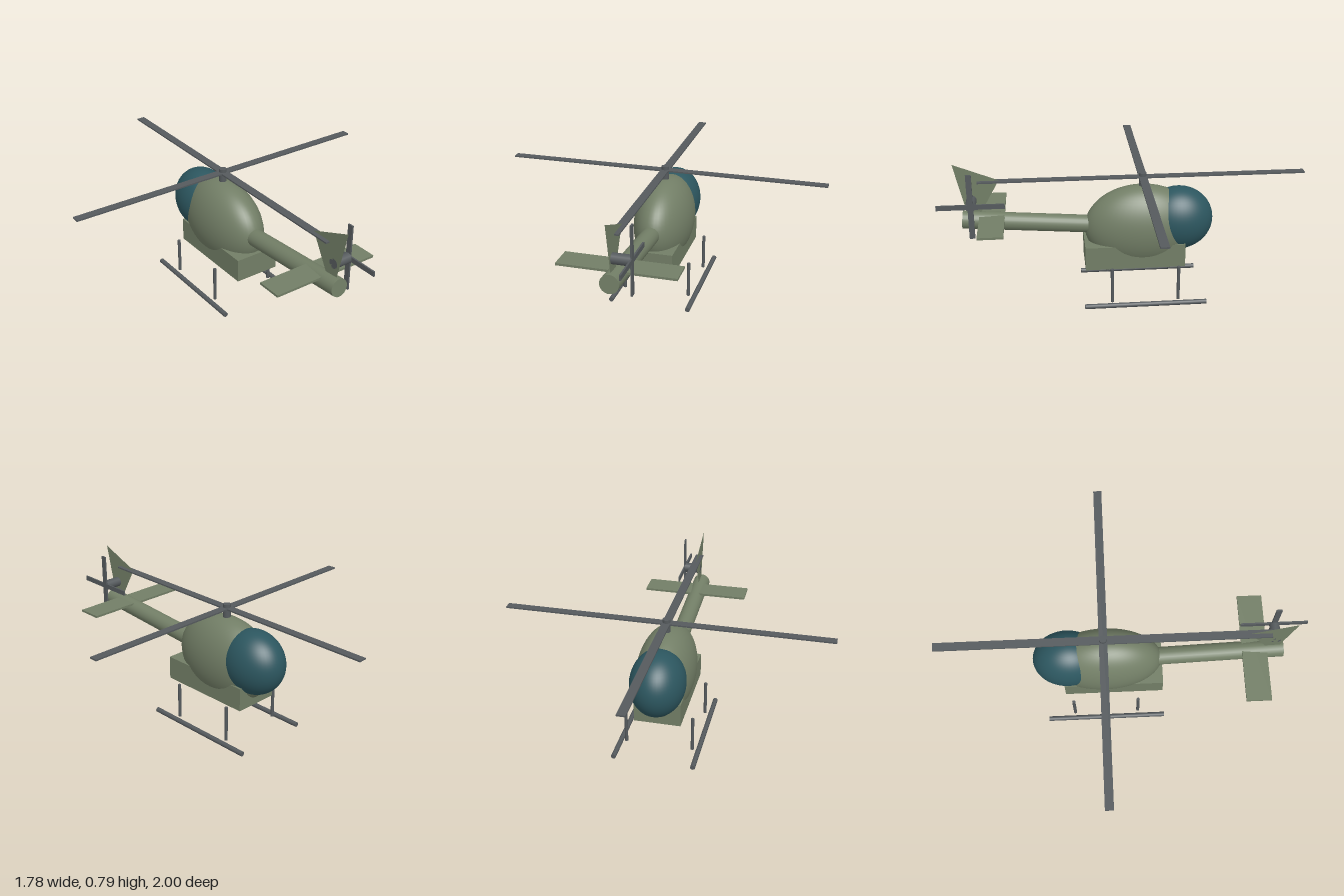
import * as THREE from 'three';

export function createModel() {
  const model = new THREE.Group();
  const mat = (name, color, side = THREE.FrontSide) =>
    Object.assign(new THREE.MeshStandardMaterial({ color, side }), { name });
  const green = mat('olive green', 0x727e66, THREE.DoubleSide);
  const glass = mat('teal glass', 0x2c565f);
  const grey = mat('dark grey', 0x555a5d);

  const add = (name, geometry, material, x, y, z, parent = model) => {
    const mesh = new THREE.Mesh(geometry, material);
    mesh.name = name;
    mesh.position.set(x, y, z);
    parent.add(mesh);
    return mesh;
  };
  const box = (w, h, d) => new THREE.BoxGeometry(w, h, d);
  const rod = (r, length, sides = 16) => new THREE.CylinderGeometry(r, r, length, sides);

  // Egg-shaped cabin, glazed nose and floor box; the nose points to -z
  const ellipsoid = (rx, ry, rz) => new THREE.SphereGeometry(1, 48, 32).scale(rx, ry, rz);
  add('cabin', ellipsoid(0.158, 0.238, 0.316), green, 0, 0.395, -0.105);
  add('canopy', ellipsoid(0.149, 0.18, 0.19), glass, 0, 0.434, -0.309);
  add('floorBox', box(0.256, 0.132, 0.55), green, 0, 0.257, -0.059);

  // Tail boom rising slightly toward the back
  const start = new THREE.Vector3(0, 0.408, 0.1);
  const end = new THREE.Vector3(0, 0.468, 0.873);
  const boom = add('tailBoom', rod(0.049, start.distanceTo(end), 24), green, 0, 0, 0);
  boom.position.copy(start).lerp(end, 0.5);
  boom.quaternion.setFromUnitVectors(
    new THREE.Vector3(0, 1, 0), end.clone().sub(start).normalize());

  // Sheet tail fin, drawn as (z, y) and turned into the centre plane
  const finShape = new THREE.Shape([[0.909, 0.785], [0.667, 0.689], [0.826, 0.41]]
    .map(([z, y]) => new THREE.Vector2(z, y)));
  add('tailFin', new THREE.ShapeGeometry(finShape).rotateY(-Math.PI / 2), green, 0, 0, 0);
  add('stabilizer', box(0.61, 0.012, 0.136), green, 0, 0.488, 0.713);

  // Main rotor
  const rotor = new THREE.Group();
  rotor.name = 'mainRotor';
  rotor.position.set(0, 0.683, -0.108);
  model.add(rotor);
  add('mast', rod(0.021, 0.12), grey, 0, -0.038, 0, rotor);
  add('crossBlade', box(1.785, 0.008, 0.045), grey, 0, 0, 0, rotor);
  add('lengthBlade', box(0.045, 0.008, 1.785), grey, 0, 0, 0, rotor);

  // Tail rotor on the +x side
  const tailRotor = new THREE.Group();
  tailRotor.name = 'tailRotor';
  tailRotor.position.set(0, 0.579, 0.819);
  model.add(tailRotor);
  add('tailHub', rod(0.028, 0.096).rotateZ(Math.PI / 2), grey, 0.048, 0, 0, tailRotor);
  add('uprightBlade', box(0.009, 0.363, 0.03), grey, 0.097, 0, 0, tailRotor);
  add('levelBlade', box(0.009, 0.027, 0.362), grey, 0.097, 0, 0, tailRotor);

  // Landing skids and struts
  for (const side of [-1, 1]) {
    add('skid', rod(0.0135, 0.672).rotateX(Math.PI / 2), grey, side * 0.218, 0.0135, -0.108);
    for (const z of [0.075, -0.29])
      add('strut', rod(0.009, 0.2), grey, side * 0.185, 0.12, z);
  }
  return model;
}
